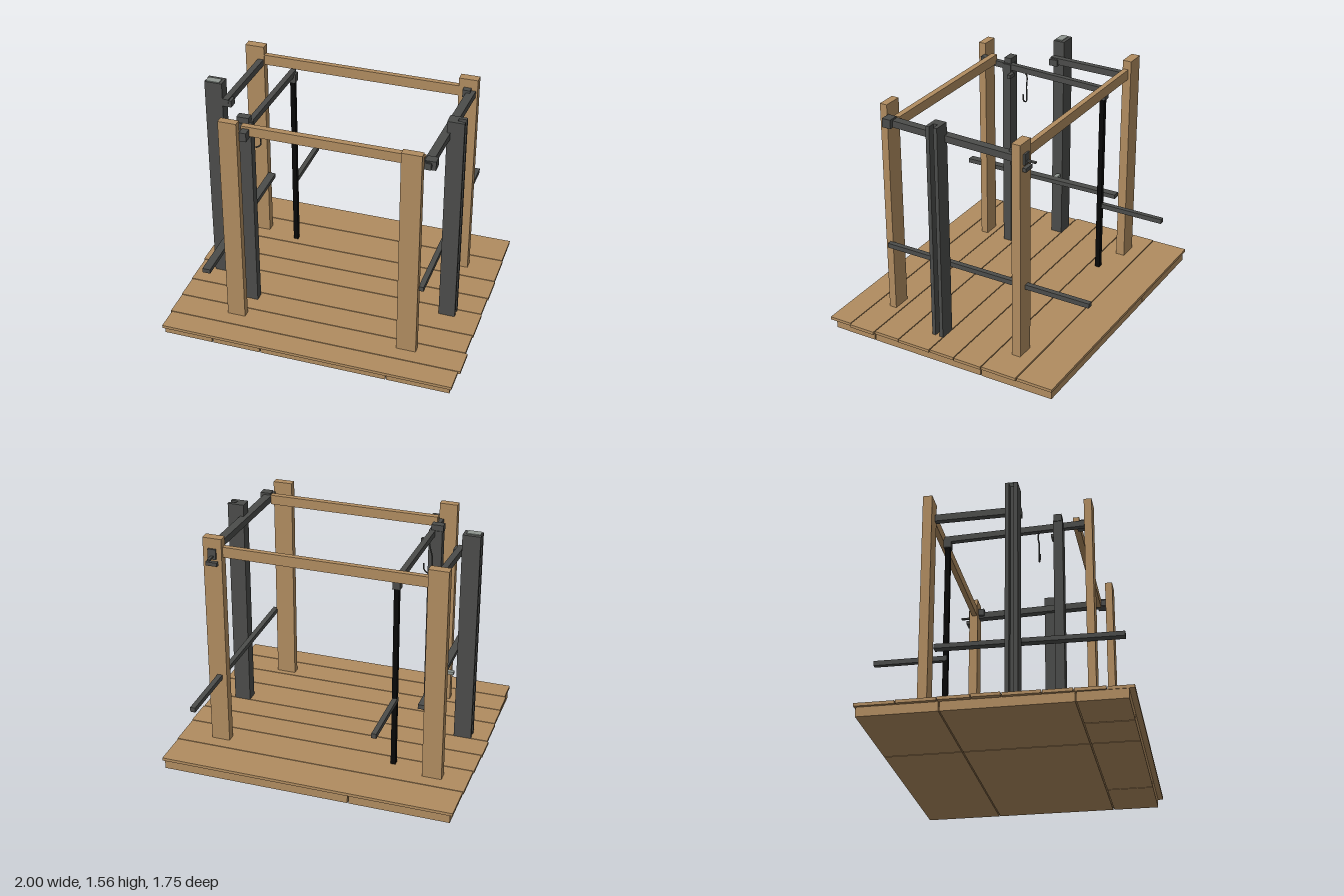
import * as THREE from 'three';

export function createModel() {
  const model = new THREE.Group();
  model.name = 'timberFrame';
  const mat = (name, color, opts = {}) => {
    const m = new THREE.MeshStandardMaterial({ color, ...opts });
    m.name = name;
    return m;
  };
  const wood = mat('wood', 0xb08c60);
  const steel = mat('darkSteel', 0x4b4c4a);
  const black = mat('black', 0x080808);
  const pale = mat('paleSteel', 0x8f9690);

  const add = (name, geo, material) => {
    const mesh = new THREE.Mesh(geo, material);
    mesh.name = name;
    model.add(mesh);
    return mesh;
  };
  // Box given by its limits on each axis
  const box = (name, material, [x0, x1], [y0, y1], [z0, z1]) => {
    const geo = new THREE.BoxGeometry(x1 - x0, y1 - y0, z1 - z0);
    geo.translate((x0 + x1) / 2, (y0 + y1) / 2, (z0 + z1) / 2);
    return add(name, geo, material);
  };
  // Square bar running between two points
  const bar = (name, material, a, b, w, h) => {
    const from = new THREE.Vector3(...a), to = new THREE.Vector3(...b);
    const mesh = add(name, new THREE.BoxGeometry(w, h, from.distanceTo(to)), material);
    mesh.position.copy(from).add(to).multiplyScalar(0.5);
    mesh.lookAt(to);
    return mesh;
  };

  // Deck: overhanging boards with thin seams and uneven ends
  const seams = [-0.78, -0.53, -0.28, -0.08, 0.1, 0.335, 0.52, 0.71, 0.87];
  const leftEnds = [-0.985, -0.99, -0.995, -1, -0.99, -0.985, -0.98, -0.97];
  const rightEnds = [0.98, 0.985, 0.99, 0.985, 0.99, 0.985, 1, 0.985];
  for (let i = 0; i < 8; i++) {
    box('deckBoard', wood, [leftEnds[i], rightEnds[i]], [0.06, 0.08],
      [seams[i] + (i ? 0.003 : 0), seams[i + 1] - (i < 7 ? 0.003 : 0)]);
  }
  box('deckCore', wood, [-0.95, 0.95], [0.006, 0.07], [-0.75, 0.81]);
  // Lower blocks under the boards, separated by grooves
  const blocks = (xs, z0, z1) => {
    for (let i = 0; i + 1 < xs.length; i++) {
      box('deckBlock', wood, [xs[i] + 0.004, xs[i + 1] - 0.004], [0, 0.065], [z0 + 0.004, z1 - 0.004]);
    }
  };
  blocks([-0.97, -0.63, -0.3, 0.55, 0.97], 0.53, 0.84);
  blocks([-0.97, -0.3, 0.97], -0.27, 0.53);
  blocks([-0.97, -0.3, 0.97], -0.775, -0.27);

  // Four timber posts and the two timber rails
  const posts = [[-0.61, -0.49, 0.56, 0.61], [0.55, 0.68, 0.56, 0.61],
    [-0.82, -0.69, -0.44, -0.38], [0.645, 0.77, -0.44, -0.38]];
  for (const [x0, x1, z0, z1] of posts) box('timberPost', wood, [x0, x1], [0.07, 1.55], [z0, z1]);
  box('backRail', wood, [-0.7, 0.66], [1.42, 1.49], [-0.42, -0.385]);
  box('frontRail', wood, [-0.5, 0.67], [1.42, 1.485], [0.475, 0.515]);

  // Channel-section steel posts, open toward the outside
  for (const s of [-1, 1]) {
    const inner = s < 0 ? 0.76 : 0.715, outer = s < 0 ? 0.878 : 0.825;
    const pts = [[inner, 0.1], [outer, 0.1], [outer, 0.125], [outer - 0.05, 0.125],
      [outer - 0.05, 0.155], [outer, 0.155], [outer, 0.18], [inner, 0.18]];
    const shape = new THREE.Shape(pts.map(([x, z]) => new THREE.Vector2(s * x, -z)));
    const geo = new THREE.ExtrudeGeometry(shape, { depth: 1.485, bevelEnabled: false });
    geo.rotateX(-Math.PI / 2);
    geo.translate(0, 0.07, 0);
    add('channelPost', geo, steel);
  }
  box('postCapPlate', pale, [-0.87, -0.78], [1.555, 1.56], [0.125, 0.175]);

  // Inner steel post and thin black pole
  box('innerPost', steel, [-0.565, -0.475], [0.07, 1.44], [0.355, 0.415]);
  box('blackPole', black, [-0.49, -0.458], [0.07, 1.39], [-0.365, -0.332]);
  box('poleCap', steel, [-0.5, -0.45], [1.35, 1.41], [-0.375, -0.325]);

  // Upper steel beams
  bar('leftBeam', steel, [-0.715, 1.435, -0.38], [-0.74, 1.425, 0.18], 0.04, 0.045);
  bar('middleBeam', steel, [-0.478, 1.41, -0.37], [-0.505, 1.425, 0.55], 0.036, 0.04);
  bar('rightBeam', steel, [0.732, 1.45, -0.4], [0.695, 1.455, 0.56], 0.055, 0.045);

  // Lower steel bars
  bar('leftLowerBar', steel, [-0.66, 0.555, -0.38], [-0.66, 0.545, 0.8], 0.052, 0.03);
  bar('middleLowerBar', steel, [-0.478, 0.56, -0.81], [-0.478, 0.56, -0.34], 0.032, 0.032);
  bar('rightLowerBar', steel, [0.693, 0.56, -0.88], [0.693, 0.565, 0.58], 0.034, 0.032);
  box('barClipPlate', pale, [-0.74, -0.69], [0.543, 0.563], [0.1, 0.13]);

  // Brackets where beams meet posts
  box('leftBracket', steel, [-0.77, -0.7], [1.395, 1.44], [0.12, 0.18]);
  box('innerBracket', steel, [-0.57, -0.49], [1.43, 1.48], [0.36, 0.41]);
  box('frontLeftBracket', steel, [-0.49, -0.445], [1.41, 1.47], [0.5, 0.57]);
  box('frontLeftClip', steel, [-0.49, -0.43], [1.36, 1.385], [0.33, 0.355]);
  box('frontRightBracket', steel, [0.68, 0.75], [1.43, 1.49], [0.49, 0.55]);
  box('backRightBracket', steel, [0.68, 0.735], [1.41, 1.48], [-0.452, -0.44]);
  box('backRightLug', steel, [0.67, 0.745], [1.37, 1.395], [-0.465, -0.435]);
  bar('backRightSpike', steel, [0.705, 1.43, -0.44], [0.705, 1.43, -0.51], 0.018, 0.01);
  box('backRightTab', steel, [0.68, 0.73], [1.44, 1.49], [-0.38, -0.34]);

  // Hanging hook and small ring
  const hook = new THREE.CatmullRomCurve3([[-0.5, 1.41, 0.27], [-0.515, 1.37, 0.25],
    [-0.53, 1.28, 0.26], [-0.52, 1.18, 0.255], [-0.48, 1.2, 0.255], [-0.475, 1.25, 0.255]]
    .map(p => new THREE.Vector3(...p)));
  add('hangingHook', new THREE.TubeGeometry(hook, 24, 0.005, 5), steel);
  const ring = add('beamRing', new THREE.TorusGeometry(0.022, 0.005, 5, 12), steel);
  ring.position.set(0.7, 1.46, 0.55);
  return model;
}
